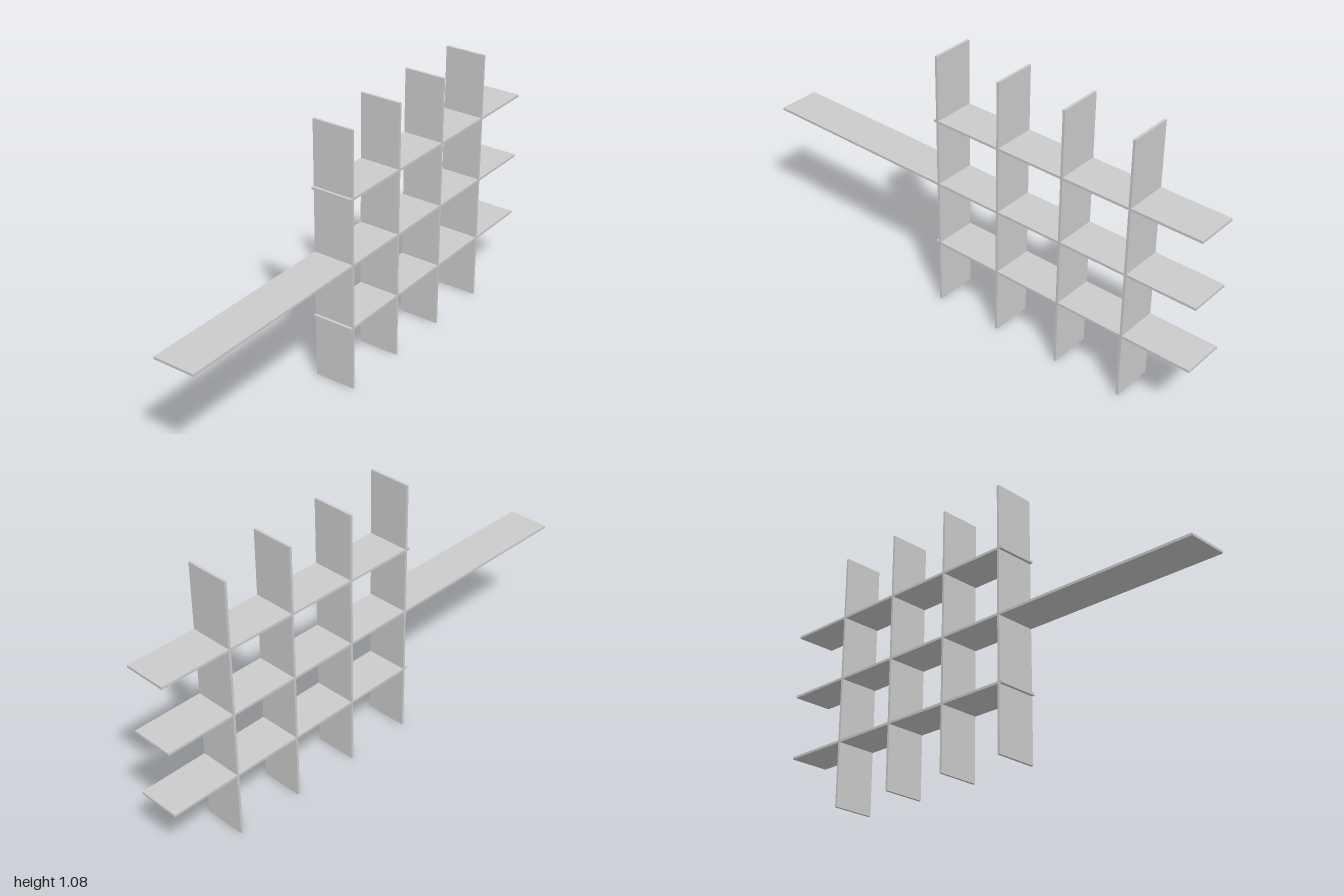
import * as THREE from 'three';

const THICK = 0.01;
const HALF = 0.086; // half the depth of every board
const HEIGHT = 1.075;
const uprightX = [-0.143, 0.143, 0.429, 0.714];
const shelves = [
  { name: 'lowerShelf', y: 0.269, start: -0.16 },
  { name: 'middleShelf', y: 0.537, start: -1 },
  { name: 'upperShelf', y: 0.807, start: -0.16 },
];

// Flat board lying along x with depth along z, half-lap slots cut in from one long edge.
function slottedBoard(start, end, slots, slotEdge) {
  const open = slotEdge * HALF;
  const t = THICK / 2;
  const shape = new THREE.Shape();
  shape.moveTo(start, -open);
  shape.lineTo(start, open);
  for (const s of slots) {
    shape.lineTo(s - t, open);
    shape.lineTo(s - t, 0);
    shape.lineTo(s + t, 0);
    shape.lineTo(s + t, open);
  }
  shape.lineTo(end, open);
  shape.lineTo(end, -open);
  const geometry = new THREE.ExtrudeGeometry(shape, { depth: THICK, bevelEnabled: false });
  geometry.translate(0, 0, -t);
  return geometry.rotateX(Math.PI / 2);
}

export function createModel() {
  const group = new THREE.Group();
  group.name = 'slottedShelf';
  const material = new THREE.MeshStandardMaterial({ color: 0xcccccc });

  // Horizontal shelves, slotted from the back
  for (const { name, y, start } of shelves) {
    const shelf = new THREE.Mesh(slottedBoard(start, 1, uprightX, -1), material);
    shelf.name = name;
    shelf.position.y = y;
    group.add(shelf);
  }

  // Upright boards, slotted from the front so they interlock with the shelves
  const uprightGeometry = slottedBoard(0, HEIGHT, shelves.map((s) => s.y), 1).rotateZ(Math.PI / 2);
  uprightX.forEach((x, i) => {
    const upright = new THREE.Mesh(uprightGeometry, material);
    upright.name = `upright${i + 1}`;
    upright.position.x = x;
    group.add(upright);
  });

  return group;
}
